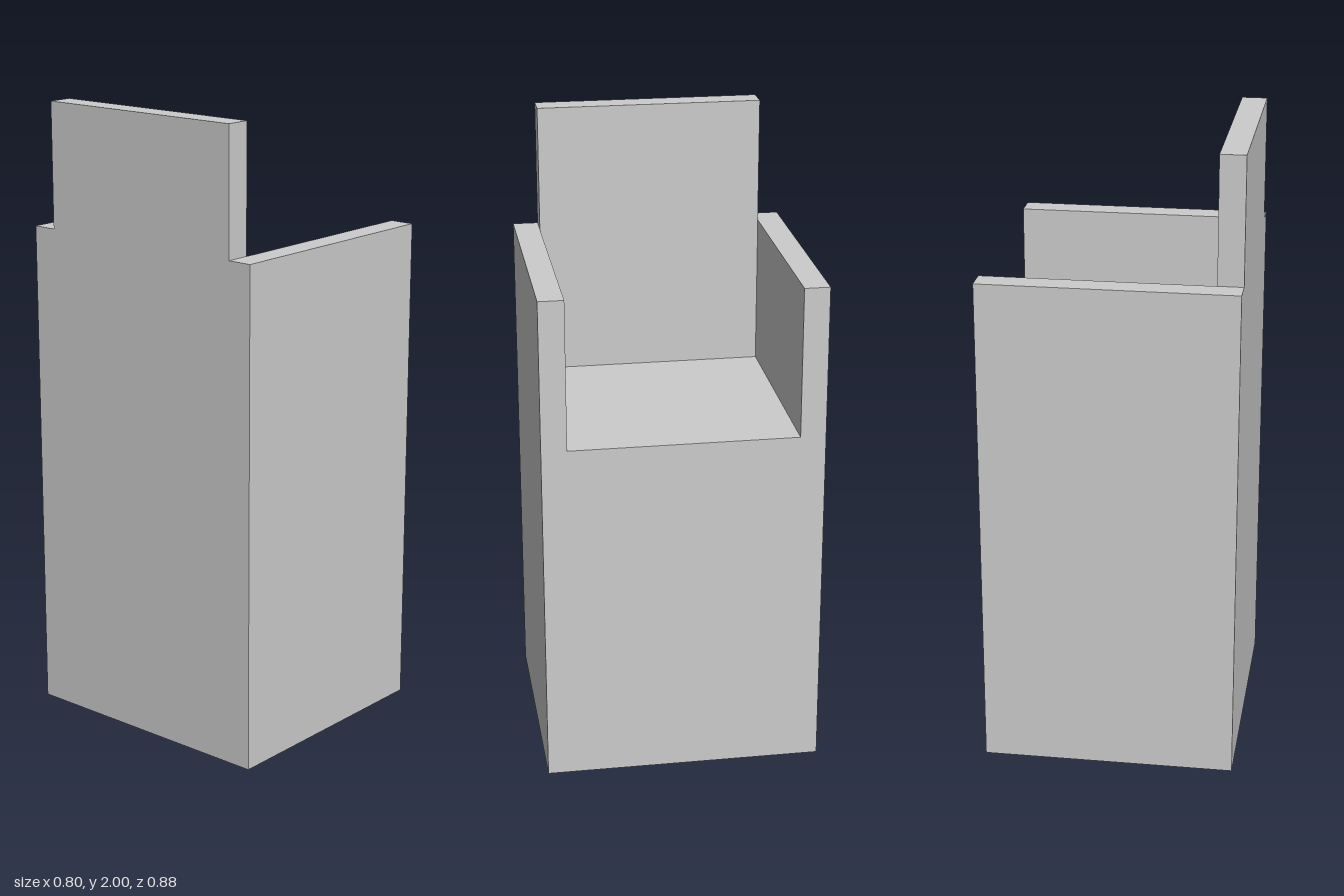
import * as THREE from 'three';

const WIDTH = 0.8, DEPTH = 0.88, WALL = 0.08;
const SEAT_Y = 1.12, ARM_Y = 1.6, BACK_Y = 2;

export function createModel() {
  const group = new THREE.Group();
  const material = new THREE.MeshStandardMaterial({ color: 0xcccccc, flatShading: true });

  const add = (name, geometry) => {
    const mesh = new THREE.Mesh(geometry, material);
    mesh.name = name;
    group.add(mesh);
    return mesh;
  };

  // Solid base and both arms: one U-shaped section run along x
  const outer = DEPTH / 2, inner = outer - WALL;
  const section = new THREE.Shape([
    [-outer, 0], [outer, 0], [outer, ARM_Y], [inner, ARM_Y],
    [inner, SEAT_Y], [-inner, SEAT_Y], [-inner, ARM_Y], [-outer, ARM_Y],
  ].map(([z, y]) => new THREE.Vector2(z, y)));
  const body = new THREE.ExtrudeGeometry(section, { depth: WIDTH, bevelEnabled: false });
  body.translate(0, 0, -WIDTH / 2).rotateY(Math.PI / 2);
  add('seatBaseAndArms', body);

  // Tall backrest standing on the seat between the arms
  const backHeight = BACK_Y - SEAT_Y;
  add('backrest', new THREE.BoxGeometry(WALL, backHeight, inner * 2))
    .position.set(-WIDTH / 2 + WALL / 2, SEAT_Y + backHeight / 2, 0);

  return group;
}
